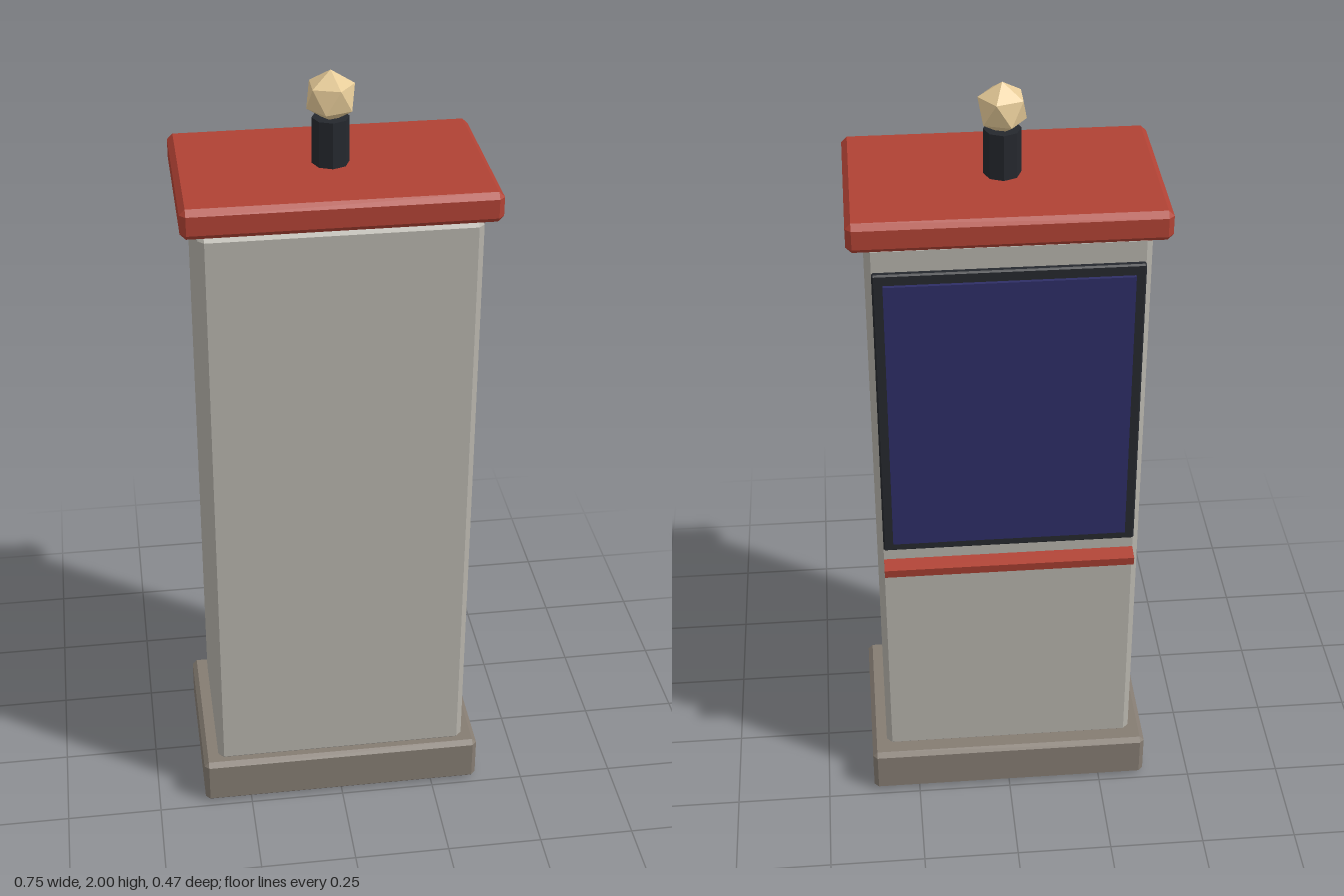
import * as THREE from 'three';
import { ConvexGeometry } from 'three/addons/geometries/ConvexGeometry.js';

const paint = (color) => new THREE.MeshStandardMaterial({ color, flatShading: true });

// Box with every edge cut off by a flat chamfer b
function chamferBox(w, h, d, b) {
  const pts = [];
  for (const sx of [-1, 1]) for (const sy of [-1, 1]) for (const sz of [-1, 1]) {
    const [x, y, z] = [w / 2, h / 2, d / 2];
    pts.push(
      new THREE.Vector3(sx * x, sy * (y - b), sz * (z - b)),
      new THREE.Vector3(sx * (x - b), sy * y, sz * (z - b)),
      new THREE.Vector3(sx * (x - b), sy * (y - b), sz * z));
  }
  return new ConvexGeometry(pts);
}

export function createModel() {
  const model = new THREE.Group();
  model.name = 'kiosk';

  const red = paint(0xb04234);
  const dark = paint(0x25282e);

  const add = (name, geometry, material, y, z = 0) => {
    const mesh = new THREE.Mesh(geometry, material);
    mesh.name = name;
    mesh.position.set(0, y, z);
    model.add(mesh);
    return mesh;
  };

  // Plinth, cabinet and roof slab
  add('base', chamferBox(0.75, 0.13, 0.47, 0.012), paint(0x857c72), 0.065);
  add('cabinet', chamferBox(0.67, 1.57, 0.41, 0.015), paint(0xb5b2aa), 0.91, 0.01);
  add('roof', chamferBox(0.75, 0.075, 0.47, 0.014), red, 1.733);

  // Display board on the back, with the panel standing proud of its frame
  add('boardFrame', chamferBox(0.64, 0.805, 0.02, 0.004), dark, 1.223, -0.199);
  add('boardPanel', new THREE.BoxGeometry(0.59, 0.75, 0.02), paint(0x2e2e66), 1.223, -0.208);

  // Narrow ledge below the board, sloping outward
  const ledge = add('ledge', new THREE.BoxGeometry(0.64, 0.025, 0.045), red, 0.768, -0.211);
  ledge.rotation.x = -0.17;

  // Post and faceted finial, one corner pointing straight up
  add('post', new THREE.CylinderGeometry(0.045, 0.045, 0.12, 8), dark, 1.825);
  const finial = new THREE.IcosahedronGeometry(0.064, 0);
  finial.rotateX(-Math.atan((1 + Math.sqrt(5)) / 2));
  finial.rotateY(Math.PI / 2);
  add('finial', finial, paint(0xe6cb98), 1.936);

  return model;
}
